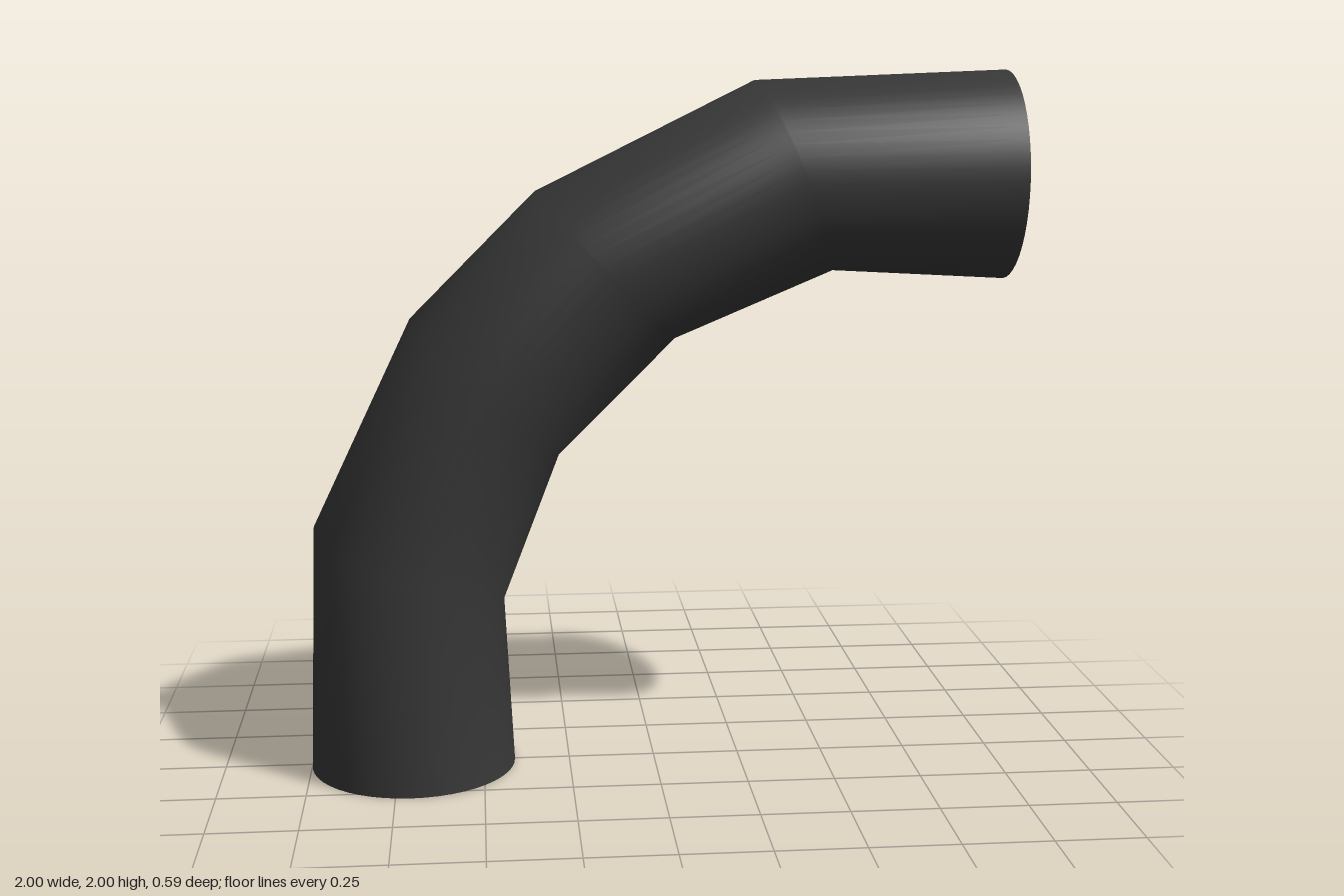
import * as THREE from 'three';

const SIDES = 48;

// Each ring of the elbow: [x, y] on the outside of the bend, [x, y] on the inside
const RINGS = [
  [[-1, 0], [-0.41, 0]],
  [[-0.975, 0.715], [-0.435, 0.495]],
  [[-0.69, 1.31], [-0.272, 0.92]],
  [[-0.335, 1.665], [0.06, 1.25]],
  [[0.285, 1.972], [0.508, 1.438]],
  [[1, 2], [1, 1.41]],
];

// Points of one round section, scaled about its centre
function section([[ox, oy], [ix, iy]], scale) {
  const cx = (ox + ix) / 2, cy = (oy + iy) / 2;
  const ux = (ox - cx) * scale, uy = (oy - cy) * scale;
  return Array.from({ length: SIDES }, (_, j) => {
    const a = (j / SIDES) * Math.PI * 2, c = Math.cos(a);
    return new THREE.Vector3(cx + c * ux, cy + c * uy, Math.sin(a) * 0.295 * scale);
  });
}

// Skin between successive sections, closed around the seam
function loft(sections) {
  const geometry = new THREE.BufferGeometry().setFromPoints(sections.flat());
  const index = [];
  for (let k = 0; k < sections.length - 1; k++) {
    for (let j = 0; j < SIDES; j++) {
      const a = k * SIDES + j, b = k * SIDES + ((j + 1) % SIDES);
      index.push(a, b, a + SIDES, b, b + SIDES, a + SIDES);
    }
  }
  geometry.setIndex(index);
  geometry.computeVertexNormals();
  return geometry;
}

export function createModel() {
  const group = new THREE.Group();
  group.name = 'pipeElbow';
  const material = new THREE.MeshStandardMaterial({ color: 0x383838 });
  material.name = 'dark grey';

  const outer = RINGS.map((r) => section(r, 1));
  const inner = RINGS.map((r) => section(r, 0.95));
  const last = RINGS.length - 1;

  const add = (name, sections) => {
    const mesh = new THREE.Mesh(loft(sections), material);
    mesh.name = name;
    group.add(mesh);
  };

  add('outerWall', outer);
  add('innerWall', [...inner].reverse());
  // Flat rims joining the two walls at the open ends
  add('bottomRim', [inner[0], outer[0]]);
  add('topRim', [outer[last], inner[last]]);
  return group;
}
